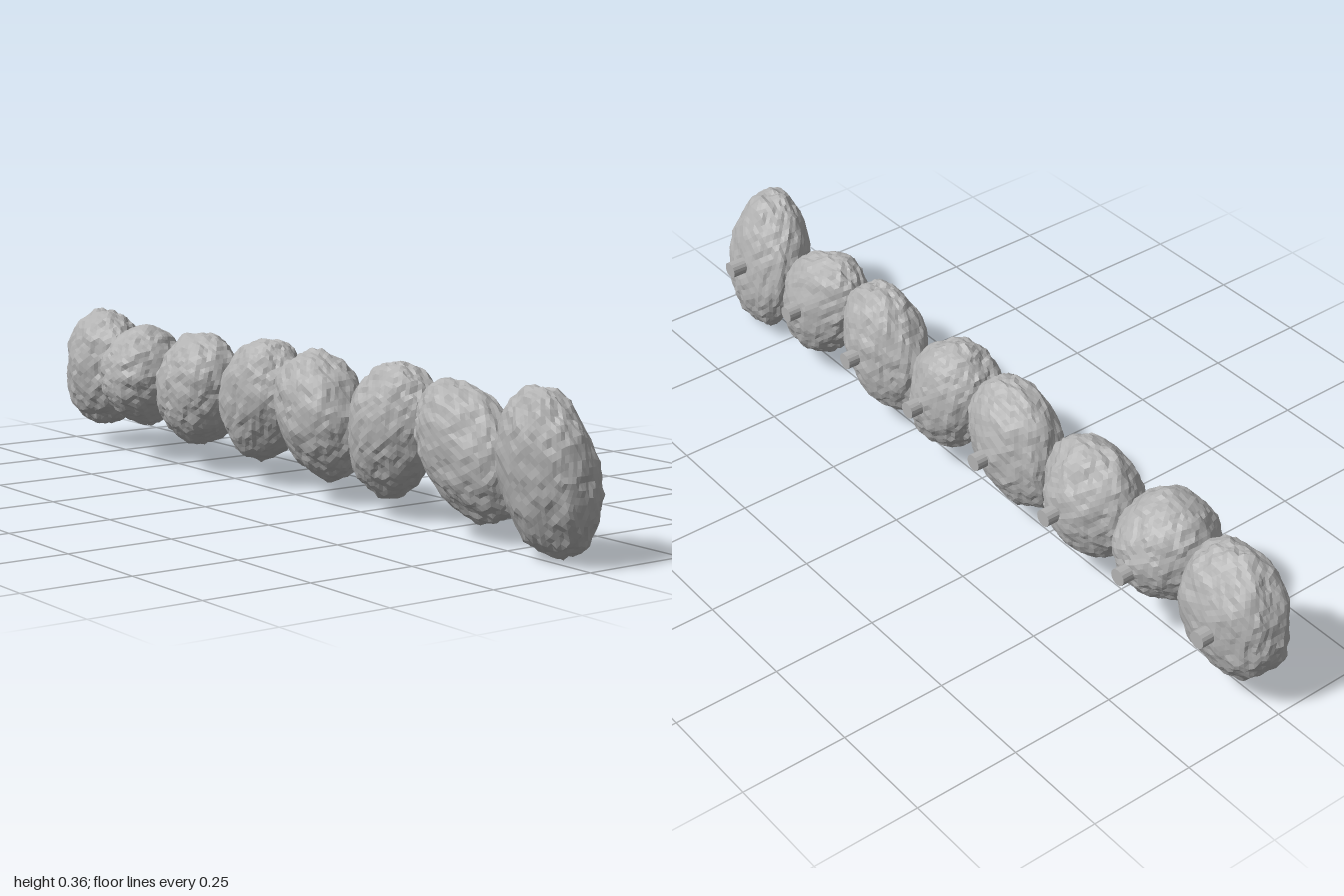
import * as THREE from 'three';

// Repeatable lattice noise in -1..1
function hash(i, j, k, seed) {
  const s = Math.sin(i * 127.1 + j * 311.7 + k * 74.7 + seed * 53.3) * 43758.5453;
  return (s - Math.floor(s)) * 2 - 1;
}
function noise(x, y, z, seed) {
  const i = Math.floor(x), j = Math.floor(y), k = Math.floor(z);
  const ease = (t) => t * t * (3 - 2 * t);
  const u = ease(x - i), v = ease(y - j), w = ease(z - k);
  const mix = THREE.MathUtils.lerp;
  const row = (b, c) => mix(hash(i, j + b, k + c, seed), hash(i + 1, j + b, k + c, seed), u);
  return mix(mix(row(0, 0), row(1, 0), v), mix(row(0, 1), row(1, 1), v), w);
}

// Per stone: x range, y range, front z, sideways lean, forward lean, rise across x, yaw
const stones = [
  { x: [-1.0, -0.725], y: [0.05, 0.355], front: 0.085, lean: 0.05, tip: 0.05, rise: 0.05, yaw: 0 },
  { x: [-0.75, -0.51], y: [0.08, 0.34], front: 0.135, lean: 0, tip: 0, rise: 0, yaw: 0 },
  { x: [-0.525, -0.265], y: [0.06, 0.34], front: 0.1, lean: 0.05, tip: 0.05, rise: 0, yaw: 0 },
  { x: [-0.275, 0.0], y: [0.05, 0.35], front: 0.075, lean: 0.15, tip: 0.05, rise: 0.1, yaw: 0 },
  { x: [-0.03, 0.225], y: [0.045, 0.35], front: 0.088, lean: -0.12, tip: 0.08, rise: -0.1, yaw: 0 },
  { x: [0.215, 0.475], y: [0.04, 0.35], front: 0.075, lean: 0.12, tip: 0.08, rise: 0.05, yaw: 0 },
  { x: [0.455, 0.745], y: [0.035, 0.335], front: 0.068, lean: -0.15, tip: 0.1, rise: -0.18, yaw: -0.1 },
  { x: [0.72, 1.0], y: [0.0, 0.36], front: 0.09, lean: -0.03, tip: 0.3, rise: 0, yaw: 0.2 },
];
const BACK = -0.107;

// Pitted ellipsoid, leaned and then fitted to its box
function stoneGeometry(s, seed) {
  const geometry = new THREE.IcosahedronGeometry(1, 11);
  const p = geometry.attributes.position;
  const d = new THREE.Vector3();
  for (let i = 0; i < p.count; i++) {
    d.fromBufferAttribute(p, i).normalize();
    // round off so that shared corners get the same noise
    const [x, y, z] = d.toArray().map((c) => Math.round(c * 1e4) / 1e4 + 10);
    const r = 1 + 0.07 * noise(x * 1.6, y * 1.6, z * 1.6, seed)
      + 0.04 * noise(x * 5, y * 5, z * 5, seed + 1)
      + 0.035 * noise(x * 10, y * 10, z * 10, seed + 2);
    d.multiplyScalar(r);
    p.setXYZ(i, d.x + s.lean * d.y, d.y + s.rise * d.x, d.z + s.tip * d.y + s.yaw * d.x);
  }
  geometry.computeBoundingBox();
  const { min, max } = geometry.boundingBox;
  const fit = (v, a, b, [lo, hi]) => lo + ((v - a) / (b - a)) * (hi - lo);
  for (let i = 0; i < p.count; i++) {
    p.setXYZ(i,
      fit(p.getX(i), min.x, max.x, s.x),
      fit(p.getY(i), min.y, max.y, s.y),
      fit(p.getZ(i), min.z, max.z, [BACK, s.front]));
  }
  geometry.computeVertexNormals();
  return geometry;
}

export function createModel() {
  const group = new THREE.Group();
  group.name = 'stoneRow';
  const gray = new THREE.MeshStandardMaterial({ color: 0xb2b2b2, flatShading: true });
  gray.name = 'stoneGray';

  // Round mounting peg at the back of each stone
  const pegGeometry = new THREE.CylinderGeometry(0.02, 0.02, 0.073, 16).rotateX(Math.PI / 2);

  stones.forEach((s, i) => {
    const unit = new THREE.Group();
    unit.name = `stoneUnit${i + 1}`;
    const stone = new THREE.Mesh(stoneGeometry(s, i * 7 + 3), gray);
    stone.name = 'stone';
    const peg = new THREE.Mesh(pegGeometry, gray);
    peg.name = 'peg';
    peg.position.set(-0.878 + i * 0.247, 0.194, -0.0965);
    unit.add(stone, peg);
    group.add(unit);
  });
  return group;
}
